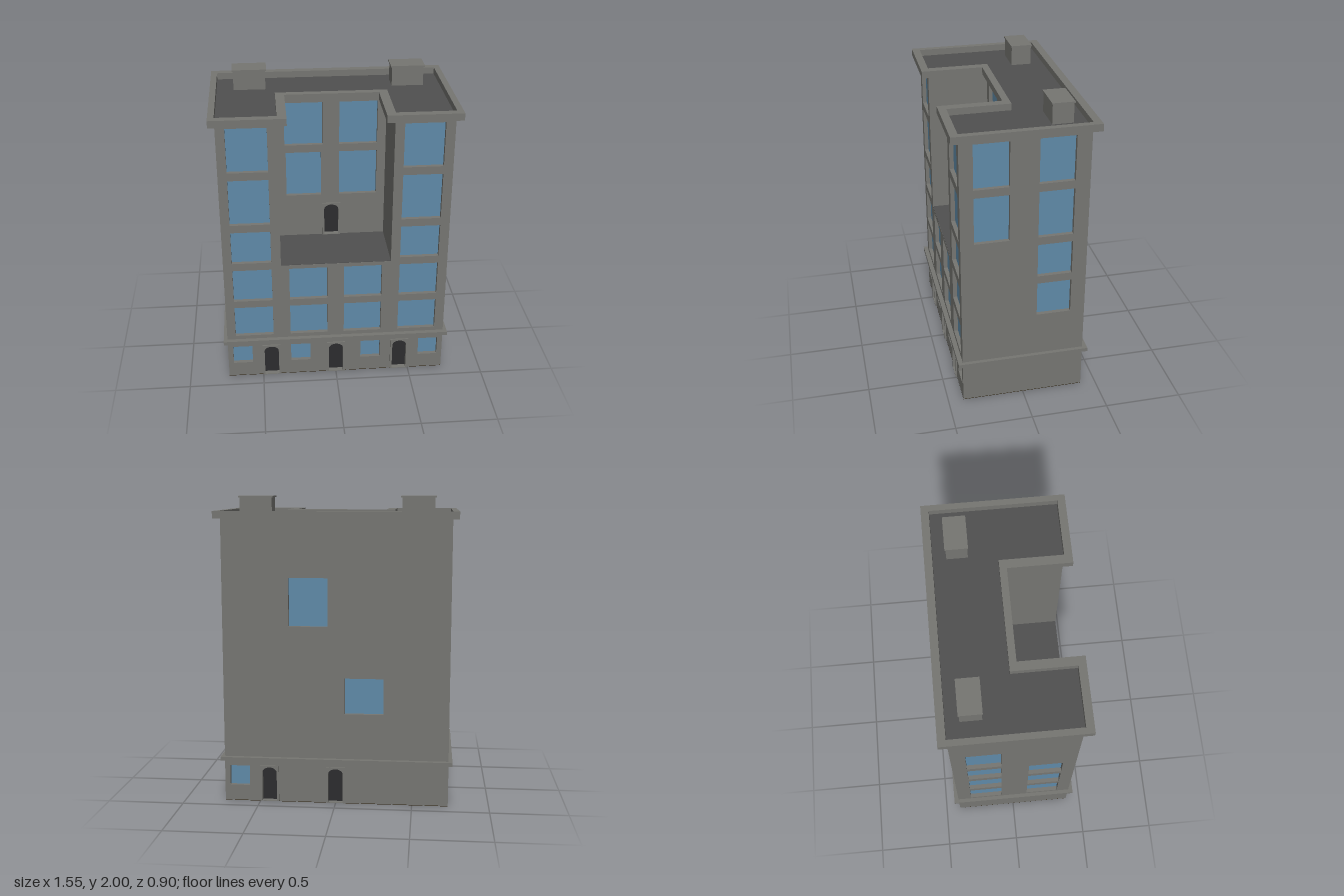
import * as THREE from 'three';

const mat = (name, color) => Object.assign(new THREE.MeshStandardMaterial({ color }), { name });

export function createModel() {
  const stone = mat('stone', 0x767672), roofing = mat('roofing', 0x505050);
  const glass = mat('glass', 0x5f8aa8), doorDark = mat('doorDark', 0x2c2c2e), earth = mat('earth', 0x2b200c);
  const model = new THREE.Group();
  model.name = 'building';

  const X = 0.735, Z = 0.40, TOP = 1.86, FLOOR = 0.865, NX = 0.36, D = 0.03, Y0 = 0.003;

  const add = (parent, name, geo, material, x = 0, y = 0, z = 0) => {
    const m = new THREE.Mesh(geo, material);
    m.name = name;
    m.position.set(x, y, z);
    parent.add(m);
    return m;
  };
  const box = (parent, name, material, x0, x1, y0, y1, z0, z1) =>
    add(parent, name, new THREE.BoxGeometry(x1 - x0, y1 - y0, z1 - z0), material,
      (x0 + x1) / 2, (y0 + y1) / 2, (z0 + z1) / 2);
  const poly = (pts, Type = THREE.Shape) => new Type(pts.map(([x, y]) => new THREE.Vector2(x, y)));
  const rect = (x0, x1, y0, y1, Type) => poly([[x0, y0], [x1, y0], [x1, y1], [x0, y1]], Type);
  const extrude = (shape, depth) => new THREE.ExtrudeGeometry(shape, { depth, bevelEnabled: false, curveSegments: 10 });

  // Arched door opening standing on height y
  const arch = (x, y) => {
    const p = new THREE.Path();
    p.moveTo(x - 0.048, y + 0.004);
    p.lineTo(x + 0.048, y + 0.004);
    p.lineTo(x + 0.048, y + 0.195);
    p.absellipse(x, y + 0.195, 0.048, 0.035, 0, Math.PI, false);
    p.lineTo(x - 0.048, y + 0.004);
    return p;
  };

  // One facade: pierced wall skin, recessed glass, doors with raised frames
  const facade = (name, outline, windows, doors, angle, x, z) => {
    const g = new THREE.Group();
    g.name = name;
    const shape = poly(outline);
    for (const w of windows) {
      shape.holes.push(rect(...w, THREE.Path));
      box(g, 'windowPane', glass, w[0], w[1], w[2], w[3], -0.002, 0.003);
    }
    for (const [dx, dy] of doors) {
      shape.holes.push(arch(dx, dy));
      box(g, 'door', doorDark, dx - 0.05, dx + 0.05, dy, dy + 0.232, -0.002, 0.006);
      const frame = rect(dx - 0.062, dx + 0.062, dy, dy + 0.24);
      frame.holes.push(arch(dx, dy));
      add(g, 'doorFrame', extrude(frame, 0.01), stone, 0, 0, D);
    }
    add(g, 'wall', extrude(shape, D), stone);
    g.rotation.y = angle;
    g.position.set(x, 0, z);
    model.add(g);
  };

  // Storey heights of the windows, index 0 is the small ground floor row
  const rows = [[0.106, 0.239], [0.329, 0.552], [0.602, 0.838], [0.891, 1.119], [1.172, 1.485], [1.538, 1.833]];
  const column = (x0, x1, list) => list.map(r => [x0, x1, ...rows[r]]);

  // Front, with the terrace cut out of its upper middle
  facade('frontFacade',
    [[-X, Y0], [X, Y0], [X, TOP], [NX, TOP], [NX, FLOOR], [-NX, FLOOR], [-NX, TOP], [-X, TOP]],
    [
      ...column(-0.677, -0.422, [1, 2, 3, 4, 5]), ...column(0.42, 0.674, [1, 2, 3, 4, 5]),
      ...column(-0.307, -0.057, [1, 2]), ...column(0.053, 0.303, [1, 2]),
      ...column(-0.70, -0.57, [0]), ...column(-0.307, -0.174, [0]),
      ...column(0.169, 0.303, [0]), ...column(0.569, 0.70, [0]),
    ],
    [[-0.44, Y0], [0, Y0], [0.437, Y0]], 0, 0, Z - D);

  // Wall behind the terrace
  facade('terraceFacade', [[-NX, FLOOR], [NX, FLOOR], [NX, TOP], [-NX, TOP]],
    [
      ...column(-0.307, -0.057, [5]), ...column(-0.30, -0.067, [4]),
      ...column(0.053, 0.303, [4, 5]),
    ],
    [[0, FLOOR + 0.002]], 0, 0, -D);

  // Back (local x runs opposite to model x)
  facade('backFacade', [[-X, Y0], [X, Y0], [X, TOP], [-X, TOP]],
    [
      ...column(-0.303, -0.05, [4]), ...column(0.06, 0.31, [2]), ...column(-0.70, -0.569, [0]),
    ],
    [[-0.437, Y0], [0, Y0]], Math.PI, 0, -Z + D);

  // Sides
  const W = Z - D;
  const sideOutline = [[-W, Y0], [W, Y0], [W, TOP], [-W, TOP]];
  facade('leftFacade', sideOutline,
    [...column(-0.315, -0.095, [4, 5]), ...column(0.085, 0.307, [2, 3, 4, 5])], [], Math.PI / 2, X - D, 0);
  facade('rightFacade', sideOutline,
    [...column(-0.307, -0.085, [1, 2, 3, 4]), ...column(0.095, 0.315, [1, 2, 3])], [], -Math.PI / 2, -X + D, 0);

  // Solid core behind the wall skins
  box(model, 'lowerCore', stone, -X + D, X - D, Y0, FLOOR, -W, W);
  box(model, 'upperCore', stone, -NX, NX, FLOOR, TOP, -W, -D);
  for (const s of [-1, 1]) {
    const a = s * NX, b = s * (X - D);
    box(model, 'wingCore', stone, Math.min(a, b), Math.max(a, b), FLOOR, TOP, -W, W);
  }
  box(model, 'basePlate', earth, -X, X, 0, Y0, -Z, Z);
  box(model, 'terraceFloor', roofing, -NX, NX, FLOOR, FLOOR + 0.003, 0, Z - 0.001);
  box(model, 'beltCourse', stone, -0.76, 0.76, 0.277, 0.302, -0.43, 0.43);

  // U-shaped plan, drawn with y = -z so it can be laid flat
  const plan = (x, z, nx, nz) =>
    [[-x, -z], [-nx, -z], [-nx, -nz], [nx, -nz], [nx, -z], [x, -z], [x, z], [-x, z]];
  const flat = (name, shape, h, material, y) => {
    add(model, name, extrude(shape, h), material, 0, y, 0).rotation.x = -Math.PI / 2;
  };
  flat('roof', poly(plan(X, Z, NX, 0)), 0.004, roofing, TOP);
  const rim = poly(plan(0.775, 0.45, 0.302, 0.045));
  rim.holes.push(poly(plan(X, Z, NX, 0), THREE.Path));
  flat('parapet', rim, 0.047, stone, TOP);

  // Chimneys with thin caps
  for (const s of [-1, 1]) {
    const c = s * 0.52;
    box(model, 'chimney', stone, c - 0.104, c + 0.104, TOP, 1.99, -0.315, -0.183);
    box(model, 'chimneyCap', stone, c - 0.112, c + 0.112, 1.99, 2.0, -0.32, -0.178);
  }
  return model;
}
